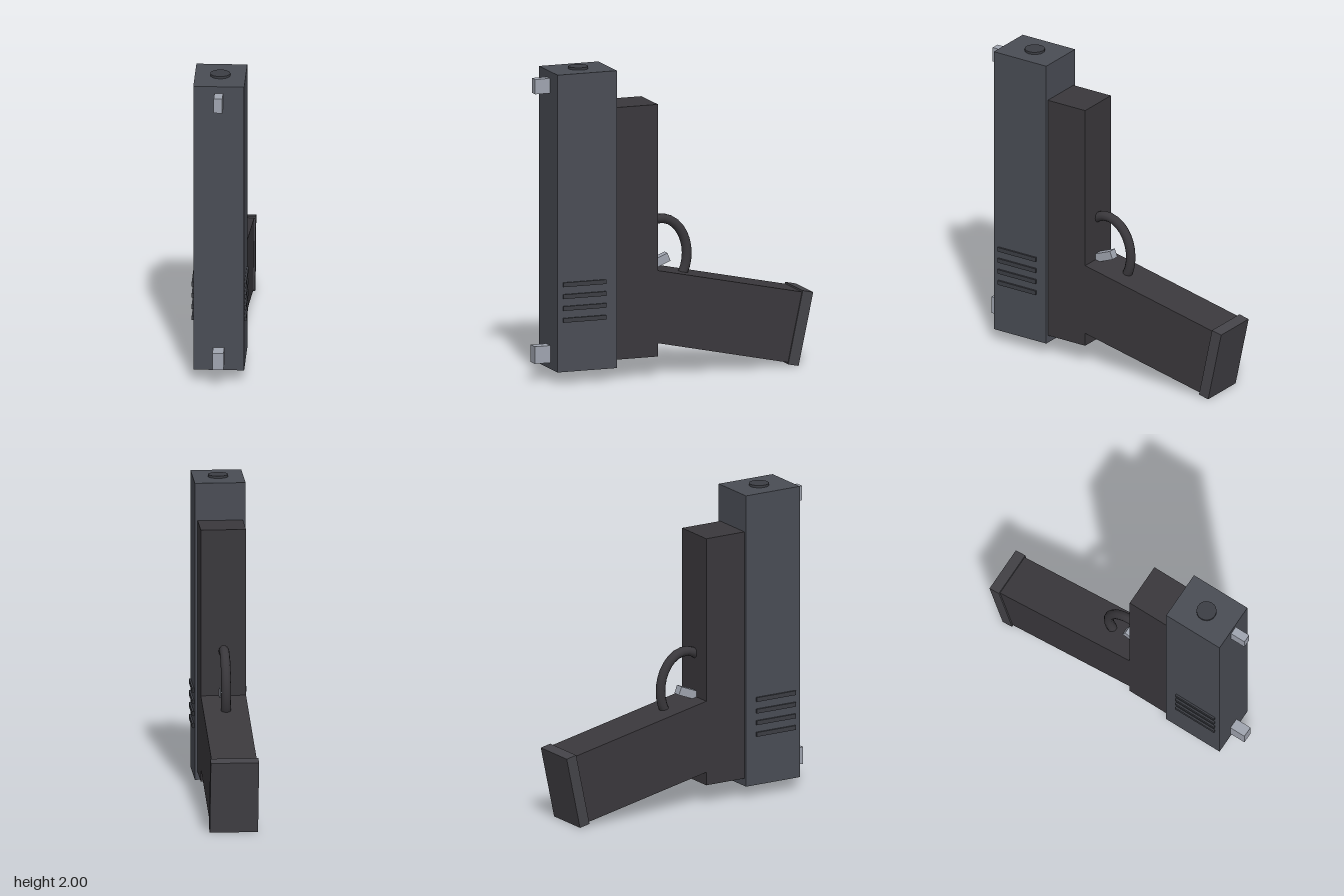
import * as THREE from 'three';

const mat = (color) => new THREE.MeshStandardMaterial({ color });

export function createModel() {
  const model = new THREE.Group();
  const slideMat = mat(0x4a4d55);
  const frameMat = mat(0x3a383c);
  const plateMat = mat(0x444348);
  const grooveMat = mat(0x3c3e44);
  const metalMat = mat(0xa0a5b0);

  const add = (name, geometry, material, y, z, tilt = 0) => {
    const mesh = new THREE.Mesh(geometry, material);
    mesh.name = name;
    mesh.position.set(0, y, z);
    mesh.rotation.x = tilt;
    model.add(mesh);
    return mesh;
  };
  // Box given by its width and its extents in y and z
  const block = (name, width, y0, y1, z0, z1, material) =>
    add(name, new THREE.BoxGeometry(width, y1 - y0, z1 - z0), material, (y0 + y1) / 2, (z0 + z1) / 2);

  // Upper and lower body, standing on end
  block('slide', 0.32, 0.08, 1.985, 0.415, 0.815, slideMat);
  block('frame', 0.285, 0.13, 1.745, 0.13, 0.415, frameMat);

  // Sights
  block('frontSight', 0.054, 1.845, 1.94, 0.8, 0.915, metalMat);
  block('rearSight', 0.07, 0.12, 0.23, 0.8, 0.92, metalMat);

  // Round muzzle at the top end
  add('muzzle', new THREE.CylinderGeometry(0.063, 0.063, 0.06, 20), grooveMat, 1.97, 0.613);

  // Ribs on both sides of the slide
  for (const side of [-1, 1]) {
    for (let i = 0; i < 4; i++) {
      const y = 0.412 + i * 0.076;
      const rib = block('slideRib', 0.024, y - 0.014, y + 0.014, 0.49, 0.78, grooveMat);
      rib.position.x = side * 0.16;
    }
  }

  // Slanted grip with its end plate
  const tilt = -0.21;
  const along = (z) => 0.4475 + (z - 0.13) * Math.tan(-tilt);
  add('grip', new THREE.BoxGeometry(0.285, 0.455, 1.03), frameMat, along(-0.3), -0.3, tilt);
  add('gripPlate', new THREE.BoxGeometry(0.304, 0.476, 0.072), plateMat, along(-0.83), -0.83, tilt);

  // Trigger
  add('trigger', new THREE.BoxGeometry(0.054, 0.055, 0.2), metalMat, 0.701, 0.103, 0.38);

  // Oval trigger guard, ending inside the frame and grip
  const points = [];
  for (let i = 0; i <= 10; i++) {
    const a = -0.75 + (i / 10) * 2.9;
    points.push(new THREE.Vector3(0, 0.75 + 0.235 * Math.sin(a), 0.06 - 0.18 * Math.cos(a)));
  }
  const guardPath = new THREE.CatmullRomCurve3(points);
  add('triggerGuard', new THREE.TubeGeometry(guardPath, 14, 0.031, 10), frameMat, 0, 0);

  return model;
}
